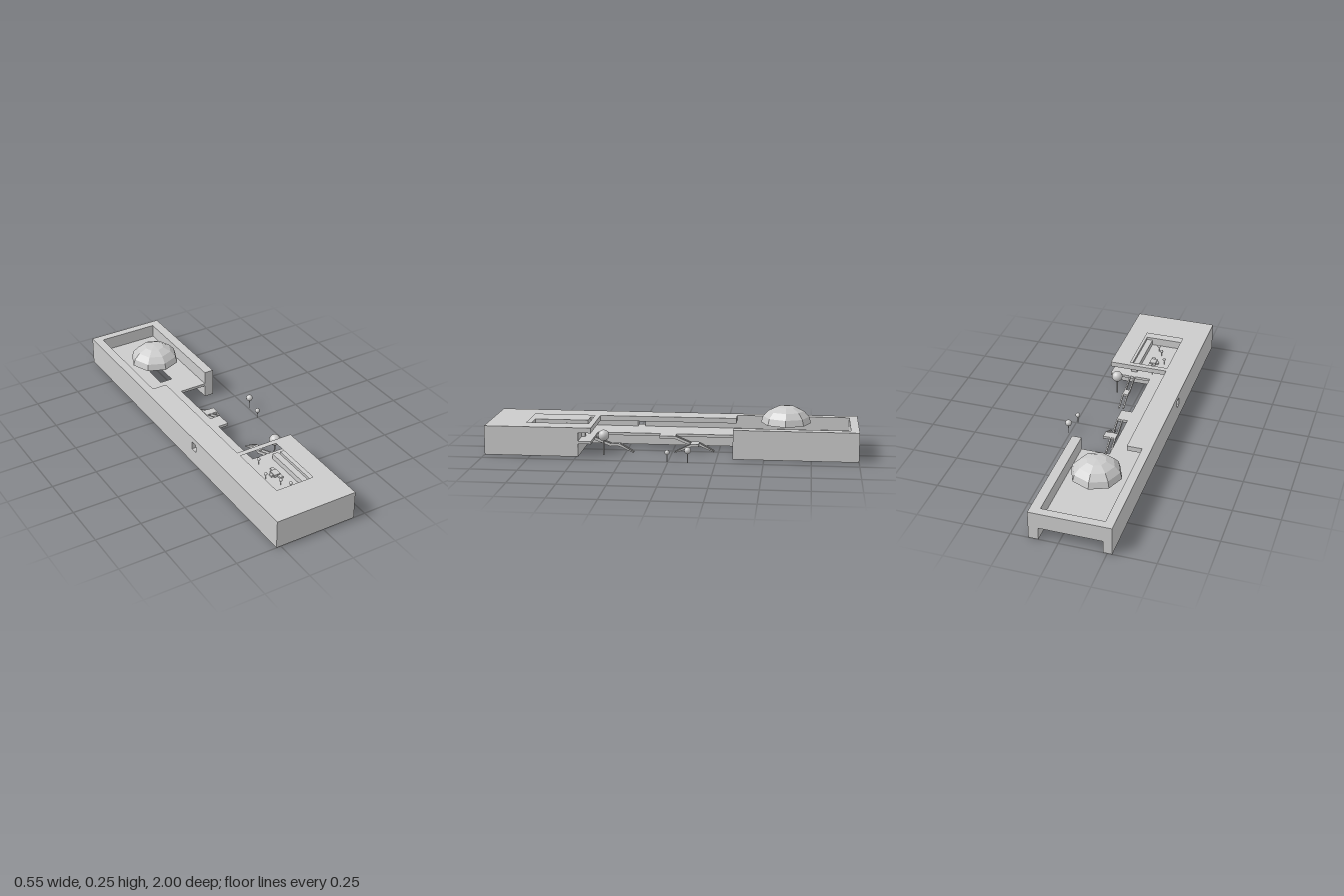
import * as THREE from 'three';

const mat = new THREE.MeshStandardMaterial({ color: 0xcccccc, flatShading: true });
const domeMat = new THREE.MeshStandardMaterial({ color: 0xcccccc, flatShading: true, side: THREE.DoubleSide });
const smoothMat = new THREE.MeshStandardMaterial({ color: 0xcccccc });

export function createModel() {
  const model = new THREE.Group();

  const add = (name, geometry, x = 0, y = 0, z = 0, material = mat, parent = model) => {
    const mesh = new THREE.Mesh(geometry, material);
    mesh.name = name;
    mesh.position.set(x, y, z);
    parent.add(mesh);
    return mesh;
  };

  // Box given by its extents on each axis
  const box = (name, x0, x1, y0, y1, z0, z1) =>
    add(name, new THREE.BoxGeometry(x1 - x0, y1 - y0, z1 - z0),
      (x0 + x1) / 2, (y0 + y1) / 2, (z0 + z1) / 2);

  // Horizontal slab from a plan outline of [x, z] points, with optional holes
  const toPoints = (list) => list.map(([x, z]) => new THREE.Vector2(x, -z));
  const slab = (name, y0, y1, outline, holes = []) => {
    const shape = new THREE.Shape(toPoints(outline));
    holes.forEach((h) => shape.holes.push(new THREE.Path(toPoints(h))));
    const geo = new THREE.ExtrudeGeometry(shape, { depth: y1 - y0, bevelEnabled: false });
    geo.rotateX(-Math.PI / 2);
    return add(name, geo, 0, y0, 0);
  };
  const rect = (x0, x1, z0, z1) => [[x0, z0], [x1, z0], [x1, z1], [x0, z1]];

  const FLOOR0 = 0.07, FLOOR1 = 0.085, CEIL = 0.13, TOP = 0.158;

  // Roof: rim of the rear court, gallery strip and front block with its courtyard
  slab('roof', CEIL, TOP, [
    [-0.275, -1], [0.155, -1], [0.155, -0.335], [0.103, -0.335], [0.103, -0.955],
    [-0.228, -0.955], [-0.228, -0.337], [-0.145, -0.337], [-0.145, 0.42],
    [0.182, 0.42], [0.182, 1], [-0.275, 1],
  ], [rect(-0.143, 0.073, 0.45, 0.79)]);

  // Floor deck with the opening below the dome and the stair landing
  slab('deck', FLOOR0, FLOOR1, [
    [-0.275, -1], [0.155, -1], [0.155, -0.335], [-0.05, -0.335], [-0.05, -0.015],
    [0.01, -0.015], [0.01, 0.073], [-0.05, 0.073], [-0.05, 0.42],
    [0.182, 0.42], [0.182, 1], [-0.275, 1],
  ], [rect(-0.105, -0.035, -0.61, -0.475)]);

  // Rear court walls above the deck
  box('rearWall', -0.275, 0.155, FLOOR1, CEIL, -1, -0.955);
  box('rearLeftWall', 0.103, 0.155, FLOOR1, CEIL, -0.955, -0.335);

  // Long outer wall, split around the window
  box('outerWall', -0.275, -0.228, FLOOR1, CEIL, -0.955, 0.18);
  box('outerWall', -0.275, -0.228, FLOOR1, CEIL, 0.22, 0.49);

  // Front block walls around the courtyard
  box('frontBlockRightWall', -0.275, -0.143, FLOOR1, CEIL, 0.49, 0.79);
  box('frontBlockLeftWall', 0.073, 0.182, FLOOR1, CEIL, 0.49, 0.79);
  box('frontBlockFrontWall', -0.275, 0.182, FLOOR1, CEIL, 0.79, 1);
  box('courtyardLedge', 0.04, 0.073, FLOOR1, 0.115, 0.47, 0.79);

  // Ground-level supports
  box('frontBlockBase', -0.275, 0.182, 0, FLOOR0, 0.49, 1);
  box('galleryBase', -0.275, -0.145, 0, FLOOR0, -0.335, 0.49);
  box('rearRightLeg', -0.275, -0.228, 0, FLOOR0, -1, -0.335);
  box('rearLeftLeg', 0.103, 0.155, 0, FLOOR0, -1, -0.335);

  // Faceted dome above the rear court
  const domeProfile = [[0.135, 0], [0.125, 0.035], [0.096, 0.066], [0.052, 0.087], [0.0001, 0.093]]
    .map(([r, y]) => new THREE.Vector2(r, y));
  add('dome', new THREE.LatheGeometry(domeProfile, 8), -0.07, TOP, -0.61, domeMat);

  // A flight is a pair of sloping stringers between two heights
  const flight = (x0, x1, zTop, yTop, zEnd, yEnd) => {
    const t = 0.016, w = 0.007;
    const s = new THREE.Shape([
      new THREE.Vector2(-zTop, yTop), new THREE.Vector2(-zEnd, yEnd),
      new THREE.Vector2(-zEnd, Math.max(0, yEnd - t)), new THREE.Vector2(-zTop, yTop - t),
    ]);
    for (const x of [x0, x1 - w]) {
      const geo = new THREE.ExtrudeGeometry(s, { depth: w, bevelEnabled: false });
      geo.rotateY(Math.PI / 2);
      add('stairStringer', geo, x, 0, 0, domeMat);
    }
  };

  // Middle stair: one run down to a landing, then two runs to the ground
  flight(-0.023, 0.01, -0.015, 0.085, -0.1, 0.05);
  box('stairLanding', -0.023, 0.046, 0.036, 0.05, -0.145, -0.1);
  flight(-0.023, 0.01, -0.145, 0.05, -0.225, 0.006);
  flight(0.014, 0.046, -0.1, 0.05, -0.015, 0.006);

  // Front stair with a landing halfway
  flight(0.038, 0.07, 0.42, 0.085, 0.33, 0.05);
  box('stairLanding', 0.038, 0.07, 0.036, 0.05, 0.28, 0.33);
  flight(0.038, 0.07, 0.28, 0.05, 0.205, 0.006);

  // Trees: a ball crown on a thin trunk
  const tree = (name, x, z, base, centre, r, trunk) => {
    const group = new THREE.Group();
    group.name = name;
    group.position.set(x, base, z);
    add('trunk', new THREE.CylinderGeometry(trunk, trunk, centre, 8), 0, centre / 2, 0, smoothMat, group);
    add('crown', new THREE.SphereGeometry(r, 20, 14), 0, centre, 0, smoothMat, group);
    model.add(group);
  };
  tree('largeTree', 0.125, 0.36, 0, 0.108, 0.03, 0.004);
  tree('mediumTree', 0.257, -0.105, 0, 0.067, 0.018, 0.0025);
  tree('smallTree', 0.241, 0.005, 0, 0.05, 0.013, 0.0025);
  for (const [x, z] of [[-0.048, 0.475], [-0.085, 0.6], [-0.047, 0.682], [-0.018, 0.73]]) {
    tree('courtyardPlant', x, z, FLOOR1, 0.032, 0.009, 0.0015);
  }

  // Courtyard seats around a small table
  box('courtyardTable', -0.04, -0.005, FLOOR1, 0.1, 0.57, 0.615);
  box('courtyardSeat', -0.022, -0.003, FLOOR1, 0.095, 0.545, 0.57);
  box('courtyardSeat', -0.022, -0.003, FLOOR1, 0.095, 0.615, 0.64);
  box('courtyardSeat', -0.054, -0.04, FLOOR1, 0.095, 0.582, 0.605);

  return model;
}
